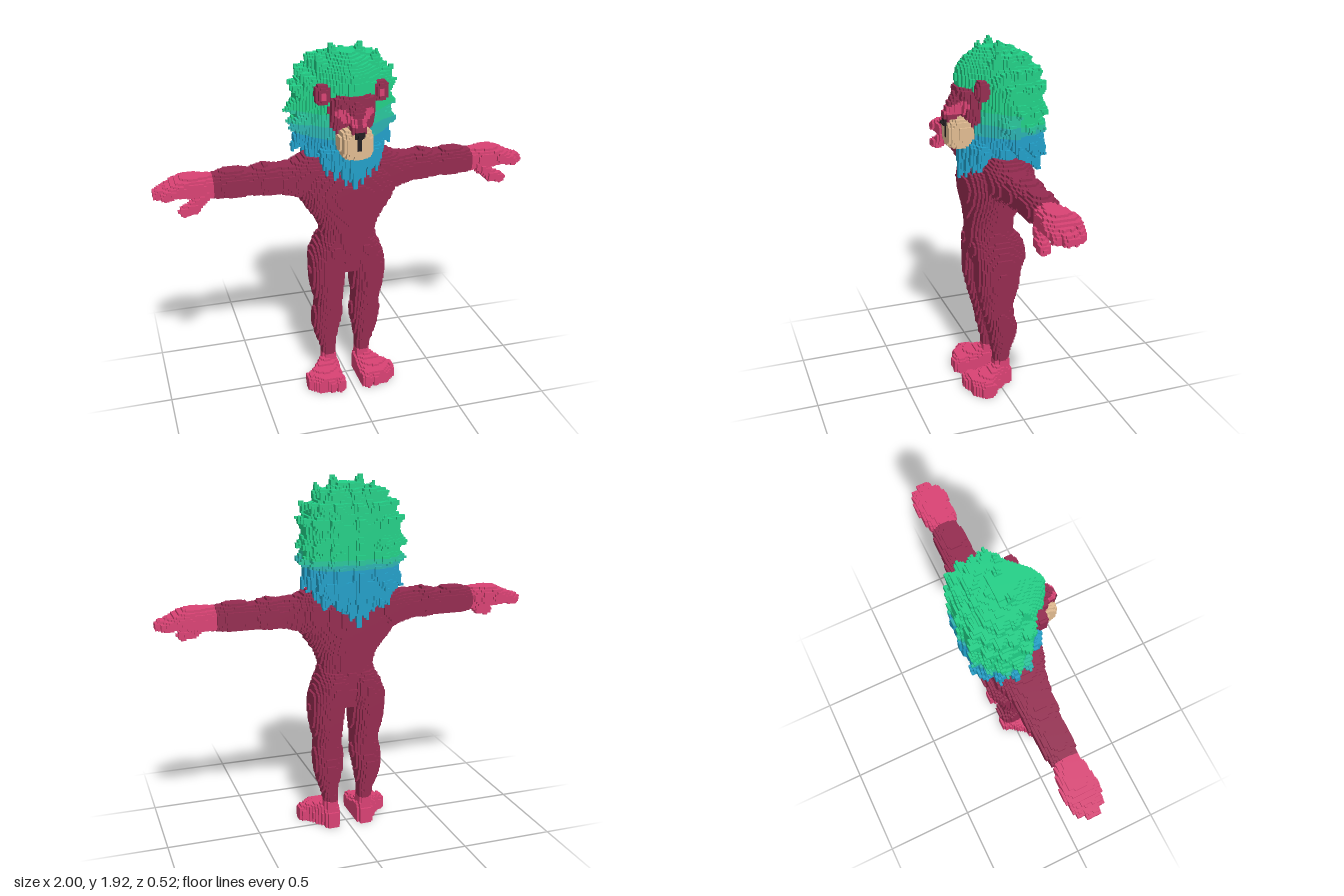
import * as THREE from 'three';

const V = 0.0125;                                   // voxel size
const NX = 160, NY = 156, NZ = 46, Z0 = -NZ * V / 2;
const COLORS = {
  maroonFur: 0x952b50, pinkSkin: 0xda4274, maneGreen: 0x20d087, maneSeaGreen: 0x28c79c, maneTeal: 0x2ab2b0,
  maneBlue: 0x21a0c9, muzzleTan: 0xe2bc92, noseBlack: 0x211c20,
};

// ---- shape tests ----
const lerp = (a, b, t) => a + (b - a) * t;
const signedPow = (v, p) => Math.sign(v) * Math.abs(v) ** p;

// Interpolated row [t, a0, a1, b0, b1] of a cross-section table
function rowAt(rows, t) {
  if (t < rows[0][0] || t > rows[rows.length - 1][0]) return null;
  let i = 1;
  while (rows[i][0] < t) i++;
  const p = rows[i - 1], q = rows[i], k = (t - p[0]) / (q[0] - p[0]);
  return p.map((v, j) => lerp(v, q[j], k));
}

// Superellipse cross-sections stacked along one axis
function loft(axis, rows, power = 2.4) {
  return (x, y, z) => {
    const [t, a, b] = axis === 'x' ? [x, y, z] : axis === 'y' ? [y, x, z] : [z, x, y];
    const r = rowAt(rows, t);
    if (!r) return false;
    const u = Math.abs(2 * a - r[1] - r[2]) / (r[2] - r[1]);
    const v = Math.abs(2 * b - r[3] - r[4]) / (r[4] - r[3]);
    return u ** power + v ** power < 1;
  };
}

// Tapered rod between two points; a tiny end radius makes a spike
function rod(a, b, r0, r1) {
  const d = b.map((v, i) => v - a[i]), len = d[0] ** 2 + d[1] ** 2 + d[2] ** 2;
  return (x, y, z) => {
    const p = [x - a[0], y - a[1], z - a[2]];
    const t = Math.min(1, Math.max(0, (p[0] * d[0] + p[1] * d[1] + p[2] * d[2]) / len));
    return Math.hypot(p[0] - d[0] * t, p[1] - d[1] * t, p[2] - d[2] * t) < lerp(r0, r1, t);
  };
}

const ball = (c, r, p = 2) => (x, y, z) =>
  Math.abs((x - c[0]) / r[0]) ** p + Math.abs((y - c[1]) / r[1]) ** p + Math.abs((z - c[2]) / r[2]) ** p < 1;

export function createModel() {
  const grid = new Uint8Array(NX * NY * NZ), parts = [null];
  const at = (i, j, k) => (i < 0 || j < 0 || k < 0 || i >= NX || j >= NY || k >= NZ) ? 0 : grid[(j * NZ + k) * NX + i];
  const partId = (name, color) => {
    const id = parts.findIndex(p => p && p.name === name);
    return id < 0 ? parts.push({ name, color, pos: [], nor: [] }) - 1 : id;
  };

  // Fill voxels inside a test with the part picked; box is [x0, x1, y0, y1, z0, z1]
  function fill(pick, test, box, onlyFilled = false) {
    const lo = [box[0] + 1, box[2], box[4] - Z0].map(v => Math.max(0, Math.floor(v / V)));
    const hi = [box[1] + 1, box[3], box[5] - Z0].map((v, n) => Math.min([NX, NY, NZ][n], Math.ceil(v / V)));
    for (let j = lo[1]; j < hi[1]; j++) for (let k = lo[2]; k < hi[2]; k++) for (let i = lo[0]; i < hi[0]; i++) {
      const x = (i + 0.5) * V - 1, y = (j + 0.5) * V, z = (k + 0.5) * V + Z0, n = (j * NZ + k) * NX + i;
      if ((!onlyFilled || grid[n]) && test(x, y, z)) grid[n] = pick(x, y, z);
    }
  }
  function paint(name, color, test, box, onlyFilled) {
    const id = partId(name, color);
    fill(() => id, test, box, onlyFilled);
  }
  // Same on both sides, described on the left (+x)
  function pair(name, color, test, box, onlyFilled) {
    paint('left' + name, color, test, box, onlyFilled);
    paint('right' + name, color, (x, y, z) => test(-x, y, z), [-box[1], -box[0], ...box.slice(2)], onlyFilled);
  }

  // ---- torso ----
  const torso = [
    [0.70, 0.09, -0.07, 0.1], [0.8, 0.17, -0.12, 0.13], [0.87, 0.158, -0.112, 0.135], [0.93, 0.142, -0.1, 0.138],
    [1.0, 0.165, -0.1, 0.145], [1.05, 0.2, -0.12, 0.15], [1.1, 0.235, -0.147, 0.16], [1.17, 0.27, -0.16, 0.165],
    [1.25, 0.26, -0.16, 0.15], [1.31, 0.22, -0.15, 0.1], [1.36, 0.14, -0.11, 0.06],
  ].map(([y, w, b, f]) => [y, -w, w, b, f]);
  paint('torso', 'maroonFur', loft('y', torso), [-0.3, 0.3, 0.68, 1.37, -0.2, 0.2]);

  // ---- legs and feet ----
  pair('Leg', 'maroonFur', loft('y', [
    [0.08, 0.06, 0.125, -0.06, 0.03], [0.13, 0.062, 0.13, -0.06, 0.025], [0.2, 0.062, 0.142, -0.06, 0.03],
    [0.3, 0.048, 0.177, -0.088, 0.05], [0.36, 0.034, 0.187, -0.098, 0.06], [0.42, 0.027, 0.188, -0.08, 0.075],
    [0.5, 0.036, 0.174, -0.075, 0.1], [0.6, 0.027, 0.197, -0.1, 0.12], [0.7, 0.018, 0.208, -0.112, 0.127],
    [0.78, -0.005, 0.197, -0.146, 0.13], [0.85, 0, 0.17, -0.143, 0.134], [0.9, 0.01, 0.14, -0.107, 0.12],
  ]), [-0.01, 0.22, 0.08, 0.91, -0.16, 0.15]);
  pair('Foot', 'pinkSkin', loft('z', [
    [-0.072, 0.06, 0.13, -0.02, 0.09], [-0.03, 0.05, 0.145, -0.03, 0.13], [0.03, 0.048, 0.19, -0.03, 0.12],
    [0.085, 0.048, 0.247, -0.03, 0.1], [0.13, 0.05, 0.235, -0.03, 0.092], [0.18, 0.055, 0.19, -0.025, 0.085],
  ], 3), [0, 0.3, 0, 0.15, -0.1, 0.2]);
  pair('Foot', 'pinkSkin', loft('y', [[0.08, 0.055, 0.135, -0.067, 0.035], [0.15, 0.058, 0.132, -0.064, 0.028]]),
    [0, 0.2, 0.08, 0.15, -0.1, 0.1]);
  for (let t = 0; t < 4; t++) {
    pair('Foot', 'pinkSkin', ball([0.078 + t * 0.05, 0.04, 0.16 - t * t * 0.007], [0.027, 0.045, 0.046], 2.5),
      [0, 0.3, 0, 0.1, 0, 0.22]);
  }

  // ---- arms and hands ----
  pair('Arm', 'maroonFur', loft('x', [
    [0.14, 1.13, 1.36, -0.14, 0.1], [0.21, 1.12, 1.352, -0.155, 0.105], [0.28, 1.145, 1.32, -0.125, 0.095],
    [0.36, 1.165, 1.31, -0.108, 0.08], [0.43, 1.165, 1.322, -0.115, 0.075], [0.51, 1.172, 1.3, -0.105, 0.062],
    [0.57, 1.17, 1.315, -0.1, 0.062], [0.64, 1.17, 1.312, -0.1, 0.06], [0.72, 1.18, 1.29, -0.075, 0.048],
  ]), [0.13, 0.73, 1.1, 1.38, -0.18, 0.15]);
  pair('Hand', 'pinkSkin', loft('x', [
    [0.705, 1.18, 1.295, -0.078, 0.05], [0.78, 1.185, 1.3, -0.102, 0.065], [0.85, 1.2, 1.297, -0.11, 0.07],
    [0.91, 1.205, 1.275, -0.105, 0.06],
  ], 2.8), [0.7, 0.92, 1.15, 1.32, -0.13, 0.1]);
  [[-0.08, 0.95], [-0.037, 0.975], [0.005, 0.975], [0.045, 0.94]].forEach(([z, tip]) =>
    pair('Hand', 'pinkSkin', rod([0.86, 1.25, z], [tip, 1.222, z * 0.85], 0.033, 0.025), [0.8, 1, 1.15, 1.3, -0.15, 0.1]));
  const thumb = [[0.75, 1.21, 0.03], [0.81, 1.155, 0.055], [0.855, 1.145, 0.062]];
  for (const n of [0, 1])
    pair('Hand', 'pinkSkin', rod(thumb[n], thumb[n + 1], 0.036 - n * 0.003, 0.033 - n * 0.005), [0.7, 0.9, 1.1, 1.3, -0.05, 0.12]);

  // ---- mane: wedge-fronted mass, banded by height ----
  const bands = [['maneTop', 'maneGreen'], ['maneUpperMiddle', 'maneSeaGreen'], ['maneLowerMiddle', 'maneTeal'],
    ['maneBottom', 'maneBlue']].map(b => partId(...b));
  const band = (x, y, z) => {
    const limits = z > -0.06 ? [1.585, 1.53, 1.465] : [1.52, 1.5, 1.475];
    const n = limits.findIndex(l => y > l);
    return bands[n < 0 ? 3 : n];
  };
  const maneRows = [                                  // height, half width, back, front
    [1.24, 0.10, -0.17, 0.17], [1.31, 0.15, -0.2, 0.185], [1.4, 0.21, -0.215, 0.19], [1.48, 0.245, -0.22, 0.165],
    [1.6, 0.262, -0.22, 0.15], [1.68, 0.25, -0.225, 0.185], [1.74, 0.23, -0.21, 0.2], [1.8, 0.195, -0.175, 0.185],
    [1.85, 0.135, -0.115, 0.14], [1.885, 0.06, -0.03, 0.07],
  ];
  const mid = -0.05;
  fill(band, (x, y, z) => {
    const r = rowAt(maneRows, y);
    if (!r) return false;
    const f = z > mid, p = f ? 1.4 : 2.8;
    return (Math.abs(x) / r[1]) ** p + Math.abs((z - mid) / ((f ? r[3] : r[2]) - mid)) ** p < 1;
  }, [-0.3, 0.3, 1.2, 1.9, -0.28, 0.22]);

  const spike = (a, b, r) => fill(band, rod(a, b, r, 0.004), [0, 1, 2].flatMap(i =>
    [Math.min(a[i], b[i]) - r, Math.max(a[i], b[i]) + r]));
  // Rings of tufts around the back and sides, hanging more towards the bottom
  [1.37, 1.46, 1.53, 1.61, 1.69, 1.76, 1.82].forEach((y, ring) => {
    const r = rowAt(maneRows, y), n = ring > 5 ? 6 : 8;
    for (let k = 0; k <= n; k++) {
      const a = Math.PI * ((k + (ring % 2) * 0.5) / (n + (ring % 2)) * 1.1 - 0.05);
      const x = signedPow(Math.cos(a), 0.7) * r[1], dz = signedPow(Math.sin(a), 0.8) * (r[2] - mid);
      const out = 1.15 + 0.04 * ((k * 7 + ring * 3) % 3 - 1), lift = ring < 2 ? -0.1 : ring < 4 ? -0.03 : 0.03;
      spike([x * 0.83, y, mid + dz * 0.83], [x * out, y + lift, mid + dz * (out + 0.05)], 0.06);
    }
  });
  // Crown tufts
  for (const s of [-1, 1]) {
    spike([s * 0.06, 1.84, 0], [s * 0.075, 1.93, -0.01], 0.045);
    spike([s * 0.12, 1.79, 0.03], [s * 0.165, 1.885, 0.02], 0.05);
    spike([s * 0.18, 1.73, 0.02], [s * 0.25, 1.8, 0], 0.05);
    spike([s * 0.07, 1.79, -0.1], [s * 0.09, 1.87, -0.15], 0.05);
  }
  spike([0, 1.82, -0.05], [0, 1.89, -0.1], 0.05);
  // Beard and nape tufts hanging down
  for (let k = -3; k <= 3; k++) {
    const x = k * 0.042, d = Math.abs(k);
    spike([x, 1.38, 0.15 - d * 0.02], [x * 1.05, 1.2 + d * 0.024, 0.18 - d * 0.022], 0.044);
    spike([x * 1.2, 1.38, -0.175], [x * 0.9, 1.17 + d * 0.04, -0.21 + d * 0.006], 0.055);
  }

  // ---- face ----
  paint('face', 'maroonFur', loft('y', [
    [1.47, -0.095, 0.095, -0.05, 0.14], [1.55, -0.115, 0.115, -0.05, 0.17], [1.62, -0.122, 0.122, -0.05, 0.186],
    [1.68, -0.115, 0.115, -0.05, 0.2], [1.7, -0.08, 0.08, -0.05, 0.195],
  ], 3), [-0.15, 0.15, 1.45, 1.71, 0, 0.22]);
  paint('snout', 'maroonFur', rod([0, 1.655, 0.16], [0, 1.55, 0.226], 0.05, 0.042), [-0.1, 0.1, 1.48, 1.72, 0.1, 0.28]);
  pair('Cheek', 'pinkSkin', (x, y) => ((x - 0.055) / 0.043) ** 2 + ((y - 1.6 - (x - 0.055) * 0.4) / 0.032) ** 2 < 1,
    [0, 0.11, 1.54, 1.66, 0.1, 0.28], true);
  paint('muzzle', 'muzzleTan', ball([0, 1.464, 0.165], [0.083, 0.082, 0.09], 3.2), [-0.1, 0.1, 1.36, 1.55, 0.08, 0.27]);
  paint('nose', 'noseBlack', ball([0, 1.522, 0.236], [0.032, 0.024, 0.034]), [-0.05, 0.05, 1.48, 1.54, 0.2, 0.28]);
  paint('nose', 'noseBlack', (x, y) => Math.abs(x) < Math.max(0.007, (y - 1.475) * 0.6),
    [-0.04, 0.04, 1.45, 1.52, 0.2, 0.28], true);

  // ---- ears ----
  pair('Ear', 'maroonFur', ball([0.15, 1.7, 0.105], [0.043, 0.052, 0.031], 2.4), [0.08, 0.22, 1.62, 1.78, 0.05, 0.16]);
  pair('InnerEar', 'pinkSkin', (x, y) => ((x - 0.15) / 0.017) ** 2 + ((y - 1.695) / 0.024) ** 2 < 1,
    [0.1, 0.2, 1.66, 1.74, 0.11, 0.16], true);

  // ---- exposed voxel faces, gathered per part ----
  const SIDES = [0, 1, 2].flatMap(axis => [1, -1].map(sign => ({ axis, sign })));
  for (let j = 0; j < NY; j++) for (let k = 0; k < NZ; k++) for (let i = 0; i < NX; i++) {
    const id = at(i, j, k);
    if (!id) continue;
    for (const { axis, sign } of SIDES) {
      const n = [0, 0, 0];
      n[axis] = sign;
      if (at(i + n[0], j + n[1], k + n[2])) continue;
      const quad = [[0, 0], [1, 0], [1, 1], [0, 1]].map(([a, b]) => {
        const c = [i, j, k];
        c[axis] += sign > 0 ? 1 : 0; c[(axis + 1) % 3] += a; c[(axis + 2) % 3] += b;
        return [c[0] * V - 1, c[1] * V, c[2] * V + Z0];
      });
      for (const q of sign > 0 ? [0, 1, 2, 0, 2, 3] : [0, 2, 1, 0, 3, 2]) {
        parts[id].pos.push(...quad[q]);
        parts[id].nor.push(...n);
      }
    }
  }

  const materials = {}, group = new THREE.Group();
  for (const name in COLORS) {
    materials[name] = new THREE.MeshStandardMaterial({ color: COLORS[name] });
    materials[name].name = name;
  }
  for (const p of parts) {
    if (!p || !p.pos.length) continue;
    const g = new THREE.BufferGeometry();
    g.setAttribute('position', new THREE.Float32BufferAttribute(p.pos, 3));
    g.setAttribute('normal', new THREE.Float32BufferAttribute(p.nor, 3));
    const mesh = new THREE.Mesh(g, materials[p.color]);
    mesh.name = p.name;
    group.add(mesh);
  }
  group.name = 'lionFigure';
  return group;
}
